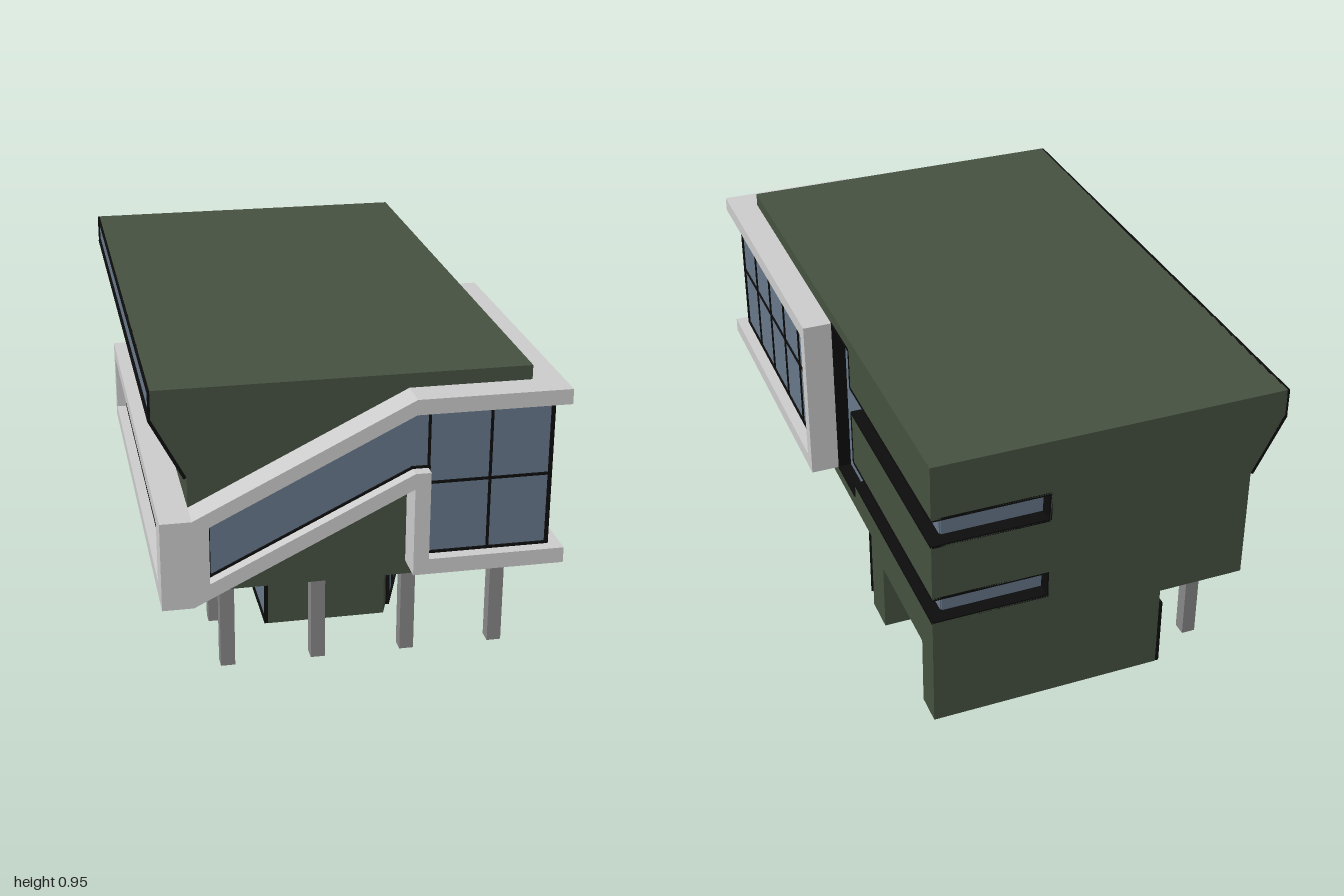
import * as THREE from 'three';

const paint = (color) => new THREE.MeshStandardMaterial({ color });
const GREEN = paint(0x465140), GLASS = paint(0x667789), BLACK = paint(0x0c0c0c);
const GREY = paint(0xcccccc), COLUMN = paint(0x878787);

const rect = (u0, v0, u1, v1) => [[u0, v0], [u1, v0], [u1, v1], [u0, v1]];

function add(parent, name, geometry, material) {
  const mesh = new THREE.Mesh(geometry, material);
  mesh.name = name;
  parent.add(mesh);
  return mesh;
}

// Box given by its two opposite corners
function box(parent, name, material, [x0, y0, z0], [x1, y1, z1]) {
  const mesh = add(parent, name, new THREE.BoxGeometry(x1 - x0, y1 - y0, z1 - z0), material);
  mesh.position.set((x0 + x1) / 2, (y0 + y1) / 2, (z0 + z1) / 2);
  return mesh;
}

// Flat outline extruded along z
function slab(parent, name, material, points, z0, z1) {
  const shape = new THREE.Shape(points.map(([x, y]) => new THREE.Vector2(x, y)));
  const geometry = new THREE.ExtrudeGeometry(shape, { depth: z1 - z0, bevelEnabled: false });
  geometry.translate(0, 0, z0);
  return add(parent, name, geometry, material);
}

// Local drawing plane on a wall: x runs along the wall, z points outwards
function wallPlane(parent, name, x, z, angle, y = 0, tilt = 0) {
  const group = new THREE.Group();
  group.name = name;
  group.position.set(x, y, z);
  group.rotation.set(tilt, angle, 0, 'YXZ');
  parent.add(group);
  return group;
}

// Black bars along a polyline
function bars(parent, points, closed, depth = 0.012, t = 0.01) {
  const last = closed ? points.length : points.length - 1;
  for (let i = 0; i < last; i++) {
    const [ax, ay] = points[i], [bx, by] = points[(i + 1) % points.length];
    const length = Math.hypot(bx - ax, by - ay) + (closed ? t * 0.8 : 0);
    const bar = add(parent, 'windowBar', new THREE.BoxGeometry(length, t, depth), BLACK);
    bar.position.set((ax + bx) / 2, (ay + by) / 2, depth / 2);
    bar.rotation.z = Math.atan2(by - ay, bx - ax);
  }
}

// Glass pane with a border and optional mullions [u0, v0, u1, v1]
function glazing(plane, points, mullions = []) {
  slab(plane, 'glass', GLASS, points, 0, 0.006);
  bars(plane, points, true);
  for (const [a, b, c, d] of mullions) bars(plane, [[a, b], [c, d]], false, 0.011, 0.008);
}

const RIGHT = Math.PI / 2, LEFT = -Math.PI / 2, BACK = Math.PI;

function buildUpperFloors(model) {
  // Main volume with the leaning left side
  const profile = (x) => [[-0.52, 0.29], [x, 0.29], [x, 0.95], [-0.62, 0.95], [-0.62, 0.86], [-0.52, 0.67]];
  slab(model, 'mainBlock', GREEN, profile(0.478), -0.95, 0.9);
  slab(model, 'backWall', GREEN, profile(0.15), -1, -0.95);

  // Right wall cladding around the recessed windows
  const right = wallPlane(model, 'rightWall', 0.478, 0, RIGHT);
  const notch = [[1, 0.385], [0.23, 0.385], [0.23, 0.335], [0.045, 0.335],
    [0.045, 0.905], [0.23, 0.905], [0.23, 0.765], [1, 0.765]];
  slab(right, 'cladding', GREEN, [[-0.9, 0.29], [1, 0.29], ...notch, [1, 0.95], [-0.9, 0.95]], 0, 0.047);
  slab(right, 'spandrel', GREEN, rect(0.23, 0.475, 1, 0.67), 0, 0.047);
  slab(right, 'tallGlass', GLASS, rect(0.045, 0.335, 0.23, 0.905), 0, 0.005);
  const inner = (points) => points.map(([u, v]) => [Math.min(u, 0.998), v]);
  bars(right, inner(notch), false, 0.048);
  bars(right, inner([[1, 0.475], [0.23, 0.475], [0.23, 0.67], [1, 0.67]]), false, 0.048);

  // Back wall cladding and the two strips that turn the corner
  const back = wallPlane(model, 'backStrips', 0, -0.95, BACK);
  for (const [v0, v1] of [[0.29, 0.385], [0.475, 0.67], [0.765, 0.95]])
    slab(back, 'cladding', GREEN, rect(-0.478, v0, -0.15, v1), 0, 0.05);
  for (const [v0, v1] of [[0.385, 0.475], [0.67, 0.765]]) {
    slab(right, 'stripGlass', GLASS, rect(0.23, v0, 0.95, v1), 0, 0.005);
    slab(back, 'stripGlass', GLASS, rect(-0.478, v0, -0.15, v1), 0, 0.005);
    bars(back, [[-0.523, v0], [-0.15, v0], [-0.15, v1], [-0.523, v1]], false, 0.05);
  }

  // Clerestory: vertical band over a leaning band
  glazing(wallPlane(model, 'clerestory', -0.615, 0, LEFT), rect(-0.995, 0.863, 0.895, 0.945));
  const lean = Math.atan2(0.1, 0.19);
  glazing(wallPlane(model, 'leaningClerestory', -0.518, 0, LEFT, 0.67, lean), rect(-0.995, 0.005, 0.895, 0.21));
}

function buildGroundFloor(model) {
  // Plan outline with the slanted wall and the entrance recess
  const plan = [[-0.235, 0.62], [0.15, 0.62], [0.525, -0.4], [0.525, -0.52], [0.335, -0.52],
    [0.335, -0.9], [0.525, -0.9], [0.525, -1], [-0.235, -1]];
  slab(model, 'groundFloor', GREEN, plan.map(([x, z]) => [x, -z]), 0, 0.29).rotation.x = -Math.PI / 2;
  box(model, 'entranceLintel', GREEN, [0.335, 0.24, -0.9], [0.525, 0.29, -0.52]);

  // Windows on the slanted wall
  const k = Math.hypot(0.375, 1.02) / 1.02;
  const slant = wallPlane(model, 'slantedWindow', 0.15, 0.62, Math.atan2(1.02, 0.375));
  glazing(slant, rect(0.06 * k, 0.005, 0.95 * k, 0.237),
    [0.455, 0.32, 0.185, 0.05, -0.085, -0.22].map((z) => [(0.62 - z) * k, 0, (0.62 - z) * k, 0.237]));

  // Entrance doors with side lights
  const entrance = wallPlane(model, 'entrance', 0.335, 0, RIGHT);
  glazing(entrance, rect(0.525, 0.005, 0.895, 0.235), [[0.61, 0.2, 0.82, 0.2]]);
  for (const u of [0.607, 0.712])
    slab(entrance, 'door', BLACK, rect(u, 0, u + 0.103, 0.2), 0, 0.012);

  glazing(wallPlane(model, 'leftGroundWindow', -0.235, 0, LEFT), rect(-0.995, 0.005, 0.615, 0.235));
}

function buildFrames(model) {
  // Front ribbon, open at the right corner where the glass wraps round
  slab(model, 'frontFrame', GREY, [[-0.615, 0.29], [-0.52, 0.29], [0.147, 0.62], [0.147, 0.335],
    [0.62, 0.335], [0.62, 0.385], [0.195, 0.385], [0.195, 0.67], [0.147, 0.67], [-0.47, 0.365],
    [-0.47, 0.55], [0.147, 0.857], [0.62, 0.857], [0.62, 0.905], [0.147, 0.905],
    [-0.52, 0.573], [-0.615, 0.573]], 0.9, 1);
  glazing(wallPlane(model, 'frontWindow', 0, 0.95, 0),
    [[-0.468, 0.368], [0.147, 0.672], [0.197, 0.672], [0.197, 0.388], [0.576, 0.388],
      [0.576, 0.854], [0.147, 0.854], [-0.468, 0.547]],
    [[0.197, 0.672, 0.197, 0.854], [0.388, 0.388, 0.388, 0.854], [0.197, 0.62, 0.576, 0.62]]);

  // Right side of the ribbon
  box(model, 'rightFrameTop', GREY, [0.525, 0.857, -0.045], [0.62, 0.905, 0.9]);
  box(model, 'rightFrameBottom', GREY, [0.525, 0.335, -0.045], [0.62, 0.385, 0.9]);
  box(model, 'rightFrameEnd', GREY, [0.525, 0.385, -0.045], [0.62, 0.857, 0]);
  glazing(wallPlane(model, 'rightWindow', 0.57, 0, RIGHT), rect(-0.956, 0.388, -0.004, 0.854),
    [...[0.768, 0.578, 0.388, 0.198].map((z) => [-z, 0.388, -z, 0.854]), [-0.956, 0.62, -0.004, 0.62]]);

  // Left side of the ribbon
  box(model, 'leftFrameTop', GREY, [-0.615, 0.528, -0.58], [-0.52, 0.573, 0.9]);
  box(model, 'leftFrameBottom', GREY, [-0.615, 0.29, -0.58], [-0.52, 0.335, 0.9]);
  box(model, 'leftFrameEnd', GREY, [-0.615, 0.335, -0.58], [-0.52, 0.528, -0.535]);
  glazing(wallPlane(model, 'leftWindow', -0.57, 0, LEFT), rect(-0.531, 0.339, 0.896, 0.524));
}

function buildColumns(model) {
  const spots = [-0.117, 0.169, 0.457].map((x) => [x, 0.835]);
  for (let i = 0; i < 7; i++) spots.push([-0.402, 0.835 - i * 0.287]);
  for (const [x, z] of spots)
    box(model, 'column', COLUMN, [x - 0.0225, 0, z - 0.0225], [x + 0.0225, 0.29, z + 0.0225]);
}

export function createModel() {
  const model = new THREE.Group();
  model.name = 'building';
  buildUpperFloors(model);
  buildGroundFloor(model);
  buildFrames(model);
  buildColumns(model);
  return model;
}
